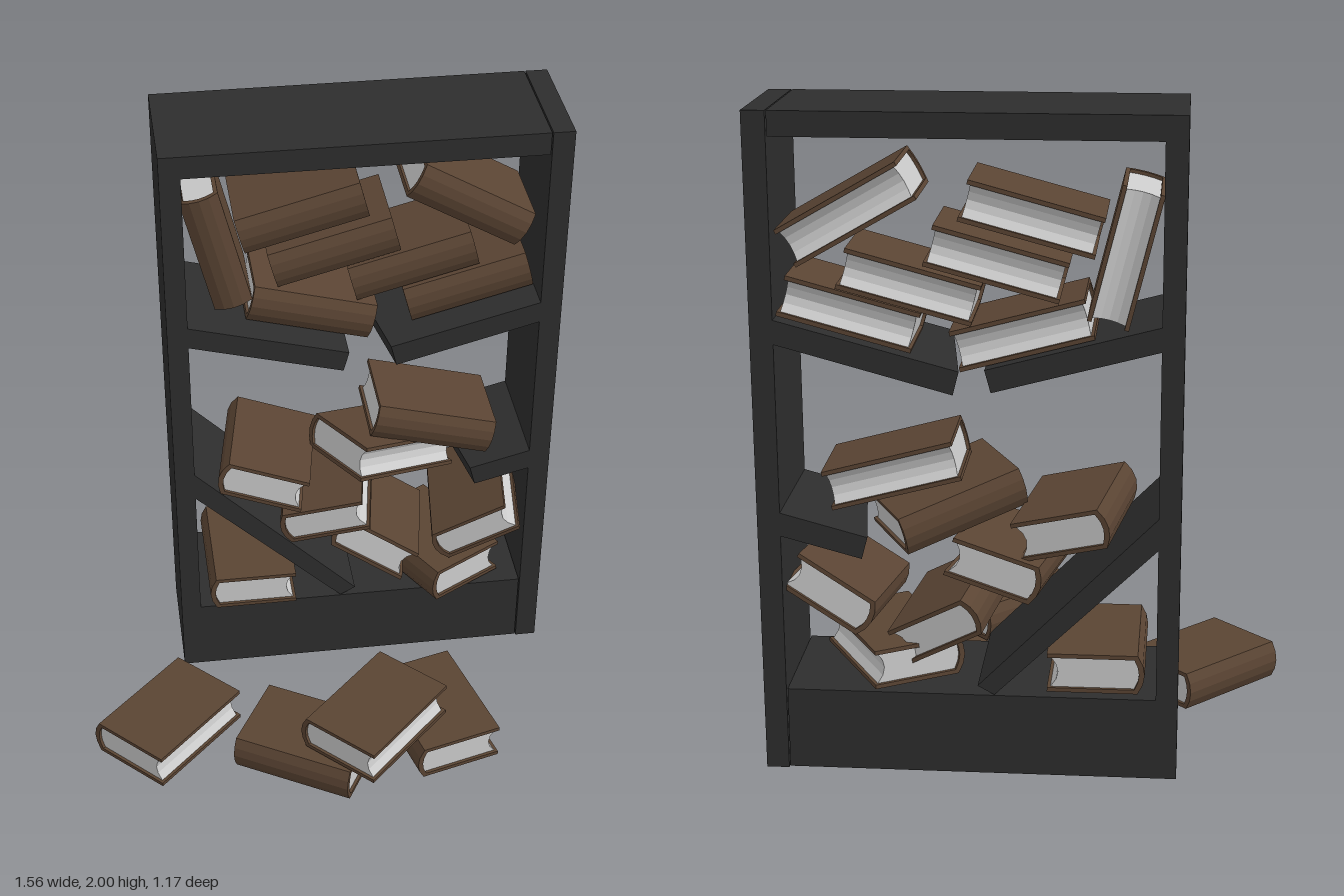
import * as THREE from 'three';

const wood = new THREE.MeshStandardMaterial({ color: 0x2d2d2d });
const leather = new THREE.MeshStandardMaterial({ color: 0x5a4433 });
const paper = new THREE.MeshStandardMaterial({ color: 0xcccccc });

const BACK = -0.58, DEPTH = 0.4;
const rad = THREE.MathUtils.degToRad;

function mesh(name, geometry, material) {
  const m = new THREE.Mesh(geometry, material);
  m.name = name;
  return m;
}

function extrude(shape, depth) {
  return new THREE.ExtrudeGeometry(shape, { depth, bevelEnabled: false, curveSegments: 4 });
}

// Board running the full depth of the case; slant skews its broken left end
function board(name, points, slant = 0) {
  const shape = new THREE.Shape(points.map(([x, y]) => new THREE.Vector2(x, y)));
  const geometry = extrude(shape, DEPTH).translate(0, 0, BACK);
  if (slant) {
    const p = geometry.attributes.position;
    for (let i = 0; i < p.count; i++) {
      if (p.getZ(i) < BACK + 0.01 && p.getX(i) < 0.7) {
        p.setX(i, p.getX(i) - slant);
        p.setY(i, p.getY(i) - slant * 0.27);
      }
    }
    geometry.computeVertexNormals();
  }
  return mesh(name, geometry, wood);
}

// Book profile: spine at -x, thickness in y, length in z
const W = 0.15, H = 0.061, L = 0.4, T = 0.013;

function coverGeometry() {
  const s = new THREE.Shape();
  s.moveTo(W, H);
  s.lineTo(-W + 0.03, H);
  s.quadraticCurveTo(-W - 0.012, 0, -W + 0.03, -H);
  s.lineTo(W, -H);
  s.lineTo(W, -H + T);
  s.lineTo(-W + 0.04, -H + T);
  s.quadraticCurveTo(-W + 0.012, 0, -W + 0.04, H - T);
  s.lineTo(W, H - T);
  return extrude(s, L).translate(0, 0, -L / 2);
}

function pagesGeometry() {
  const s = new THREE.Shape();
  const h = H - T, len = L - 0.02;
  s.moveTo(W - 0.01, h);
  s.lineTo(-W + 0.04, h);
  s.quadraticCurveTo(-W + 0.012, 0, -W + 0.04, -h);
  s.lineTo(W - 0.01, -h);
  s.quadraticCurveTo(W - 0.055, 0, W - 0.01, h);
  return extrude(s, len).translate(0, 0, -len / 2);
}

const cover = coverGeometry();
const pages = pagesGeometry();

// Angles in degrees: yaw about y, roll about the front axis, pitch along the spine
function book(name, [x, y, z], yaw, roll = 0, pitch = 0) {
  const g = new THREE.Group();
  g.name = name;
  g.add(mesh('cover', cover, leather), mesh('pages', pages, paper));
  g.position.set(x, y, z);
  g.rotation.set(rad(pitch), rad(yaw), rad(roll), 'ZYX');
  return g;
}

export function createModel() {
  const model = new THREE.Group();
  model.name = 'brokenBookcase';

  // Case: left post, top and base in one C-shaped piece, plus the right panel
  model.add(
    board('frame', [[-0.455, 0.005], [0.713, 0.005], [0.713, 0.26], [-0.39, 0.26],
      [-0.39, 1.927], [0.713, 1.927], [0.713, 2], [-0.455, 2]]),
    board('rightPanel', [[0.717, 0], [0.785, 0], [0.785, 2], [0.717, 2]]),
  );

  // Snapped shelves
  model.add(
    board('upperShelfLeft', [[-0.392, 1.33], [0.095, 1.2], [0.113, 1.267], [-0.392, 1.402]]),
    board('upperShelfRight', [[0.264, 1.207], [0.717, 1.33], [0.717, 1.402], [0.246, 1.277]], 0.06),
    board('lowerShelfLeft', [[-0.392, 0.735], [0.09, 0.262], [0.14, 0.29], [-0.392, 0.832]]),
    board('lowerShelfRight', [[0.538, 0.7], [0.717, 0.748], [0.717, 0.82], [0.52, 0.767]], 0.06),
  );

  // Books with the spine to the front: x, y, z, roll
  [
    [-0.285, 1.595, -0.42, 104],
    [-0.02, 1.7, -0.41, 15],
    [0.08, 1.57, -0.41, 15],
    [0.33, 1.5, -0.41, 15],
    [0.505, 1.415, -0.4, 15],
    [0.008, 1.362, -0.4, -15],
    [0.505, 1.705, -0.41, -30],
    [0.4, 0.91, -0.34, -15],
  ].forEach(([x, y, z, roll]) => model.add(book('shelvedBook', [x, y, z], 90, roll)));

  // Books slid together below: x, y, z, yaw, roll, pitch
  [
    [-0.215, 0.33, -0.36, 0, 0, 0],
    [-0.145, 0.77, -0.35, -10, -15, 0],
    [0.055, 0.625, -0.34, -10, 15, 0],
    [0.25, 0.8, -0.345, -60, 7, -21],
    [0.225, 0.465, -0.345, -12, -30, 0],
    [0.555, 0.53, -0.34, -8, 30, 0],
    [0.415, 0.33, -0.335, 30, 0, 0],
  ].forEach(([x, y, z, ...turn]) => model.add(book('fallenBook', [x, y, z], ...turn)));

  // Books on the floor in front: x, y, z, yaw
  [
    [-0.537, 0.064, 0.14, -45],
    [-0.09, 0.066, 0.32, 60],
    [0.125, 0.195, 0.34, -45],
    [0.34, 0.07, 0.24, 15],
  ].forEach(([x, y, z, yaw]) => model.add(book('floorBook', [x, y, z], yaw)));

  return model;
}
